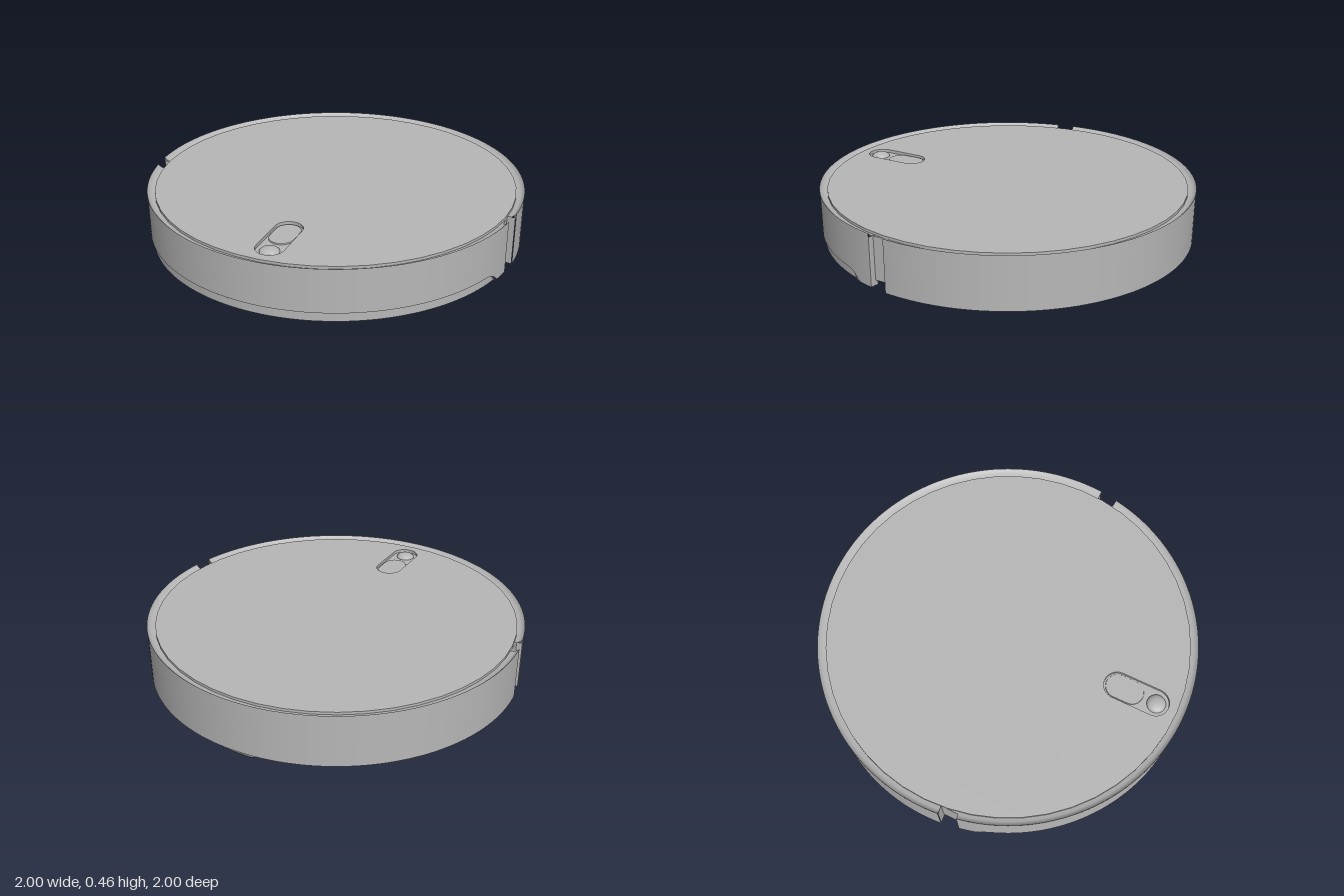
import * as THREE from 'three';
import { ParametricGeometry } from 'three/addons/geometries/ParametricGeometry.js';
import { toCreasedNormals } from 'three/addons/utils/BufferGeometryUtils.js';

const V = (x, y) => new THREE.Vector2(x, y);

export function createModel() {
  const group = new THREE.Group();
  const grey = new THREE.MeshStandardMaterial({ color: 0xb8b8b8, side: THREE.DoubleSide });
  grey.name = 'body grey';

  const add = (name, geometry, x = 0, y = 0, z = 0) => {
    const mesh = new THREE.Mesh(geometry, grey);
    mesh.name = name;
    mesh.position.set(x, y, z);
    group.add(mesh);
    return mesh;
  };

  // Curved sheet around the body; low and high give [radius, y] at an angle from +z
  const sheet = (name, from, to, low, high) => add(name, new ParametricGeometry((u, v, p) => {
    const a = from + (to - from) * u;
    const [r0, y0] = low(a), [r1, y1] = high(a);
    const r = r0 + (r1 - r0) * v;
    p.set(r * Math.sin(a), y0 + (y1 - y0) * v, r * Math.cos(a));
  }, 96, 1));

  // Pill outline in plan (shape y becomes -z)
  const pill = (w, z0, z1, Type = THREE.Shape) => {
    const s = new Type();
    s.absarc(0, -z0 - w, w, 0, Math.PI, false);
    s.absarc(0, -z1 + w, w, Math.PI, Math.PI * 2, false);
    s.closePath();
    return s;
  };
  const slab = (shape, depth, bevel = 0) => new THREE.ExtrudeGeometry(shape, {
    depth, curveSegments: 12, bevelEnabled: bevel > 0, bevelSize: bevel,
    bevelOffset: -bevel, bevelThickness: bevel, bevelSegments: 2,
  }).rotateX(-Math.PI / 2);

  // Shell walls, open below and split by a slot on each side
  const bottom = 0.18, top = 0.46;
  const frontEnd = Math.acos(0.19), backEnd = Math.acos(0.095);
  const stripEnd = Math.acos(0.29), curve = 0.09;
  const bumperEdge = (a) => {
    const t = THREE.MathUtils.clamp((Math.abs(a) - stripEnd + curve) / curve, 0, 1);
    return bottom + 0.05 * Math.sqrt(1 - t * t);
  };
  const ring = (r, y) => () => [r, y];
  sheet('frontBumper', -frontEnd, frontEnd, (a) => [0.997, bumperEdge(a)], ring(0.997, top));
  sheet('bumperLedge', -stripEnd, stripEnd, (a) => [0.986, bumperEdge(a)], (a) => [0.997, bumperEdge(a)]);
  sheet('lowerStrip', -stripEnd, stripEnd, ring(0.986, bottom), (a) => [0.986, bumperEdge(a)]);
  sheet('backWall', backEnd, Math.PI * 2 - backEnd, ring(1, bottom), ring(1, top));

  // Hollow rim sloping from the wall top down to the lid
  const rim = (name, start, length, r) => add(name, new THREE.LatheGeometry(
    [V(r, top), V(r - 0.008, 0.45), V(r - 0.022, 0.441), V(0.95, 0.437)], 80, start, length));
  rim('frontRim', -frontEnd, frontEnd * 2, 0.997);
  rim('backRim', backEnd, (Math.PI - backEnd) * 2, 1);

  // Slot ends and the bracket behind each slot
  for (const side of [-1, 1]) {
    for (const angle of [frontEnd, backEnd]) {
      const a = side * angle, r = 0.975;
      const end = add('wallEnd', new THREE.PlaneGeometry(0.044, 0.26),
        r * Math.sin(a), 0.31, r * Math.cos(a));
      end.rotation.y = a - Math.PI / 2;
    }
    add('slotBracket', new THREE.BoxGeometry(0.015, 0.23, 0.12), side * 0.943, 0.322, 0.145);
  }

  // Lid with a pill-shaped pocket
  const lid = new THREE.Shape().absarc(0, 0, 0.958, 0, Math.PI * 2, false);
  lid.holes.push(pill(0.072, 0.555, 0.91, THREE.Path));
  add('lid', new THREE.ExtrudeGeometry(lid, {
    depth: 0.018, curveSegments: 24, bevelEnabled: false,
  }).rotateX(-Math.PI / 2), 0, 0.434, 0);
  add('buttonPocket', slab(pill(0.074, 0.553, 0.912), 0.014), 0, 0.421, 0);
  add('pillButton', slab(pill(0.064, 0.565, 0.77), 0.004, 0.004), 0, 0.435, 0);
  const dome = add('roundButton', new THREE.SphereGeometry(0.05, 24, 8, 0, Math.PI * 2, 0, Math.PI / 2), 0, 0.434, 0.845);
  dome.scale.y = 0.5;

  // Round part turned about the x axis
  const turned = (name, profile, sides, crease, x, y, z, flip = 1) => {
    const geometry = toCreasedNormals(new THREE.LatheGeometry(profile, sides), crease);
    const mesh = add(name, geometry, x, y, z);
    mesh.rotation.z = -flip * Math.PI / 2;
    return mesh;
  };

  // Drive wheels with chamfered edges
  const wheel = [V(0, -0.058), V(0.178, -0.058), V(0.2, -0.036), V(0.2, 0.036), V(0.178, 0.058), V(0, 0.058)];
  for (const side of [-1, 1]) turned('driveWheel', wheel, 20, 0.5, side * 0.517, 0.2, 0.18, side);

  // Rear caster with rounded edges and dished ends
  const half = [V(0, 0.055), V(0.056, 0.055), V(0.06, 0.07), V(0.072, 0.07), V(0.082, 0.062), V(0.085, 0.048)];
  const caster = [...half.map((p) => V(p.x, -p.y)), ...half.slice().reverse()];
  turned('rearCaster', caster, 28, 0.7, 0, 0.17, -0.873);

  return group;
}
